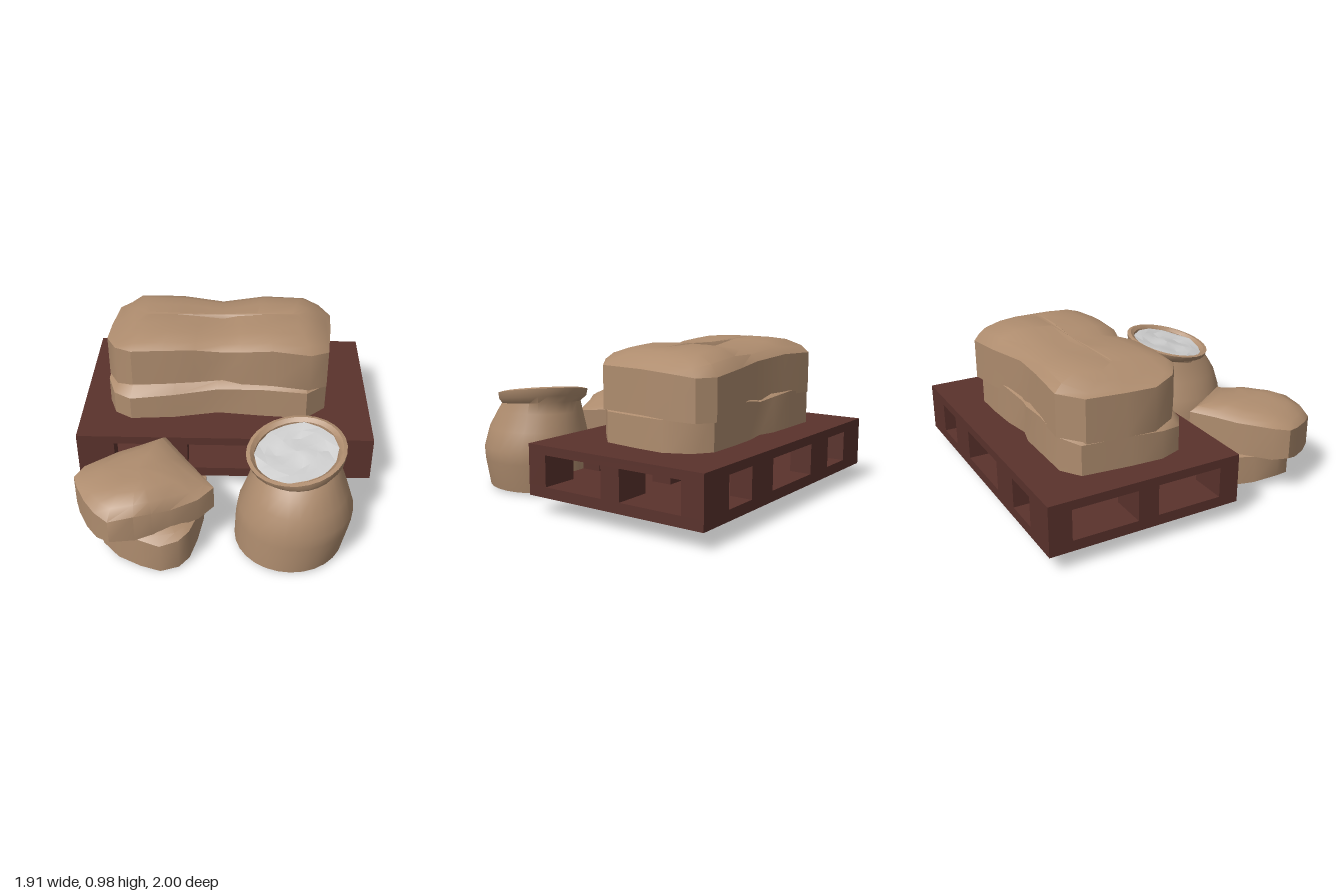
import * as THREE from 'three';
import { toCreasedNormals } from 'three/addons/utils/BufferGeometryUtils.js';

const burlap = new THREE.MeshStandardMaterial({ color: 0xae8c6e, side: THREE.DoubleSide });
const wood = new THREE.MeshStandardMaterial({ color: 0x5a322c });
const grey = new THREE.MeshStandardMaterial({ color: 0xcccccc, side: THREE.DoubleSide });

const lerp = THREE.MathUtils.lerp;

// Skin a stack of closed rings, each a list of [x, y, z], and cap both ends.
function loft(rings, crease = 0.6) {
  const n = rings[0].length;
  const pos = rings.flat(2);
  const index = [];
  for (let i = 0; i < rings.length - 1; i++) {
    for (let j = 0; j < n; j++) {
      const a = i * n + j, b = i * n + (j + 1) % n;
      index.push(a, a + n, b, a + n, b + n, b);
    }
  }
  for (const end of [0, rings.length - 1]) {
    const centre = [0, 1, 2].map(k => rings[end].reduce((s, p) => s + p[k], 0) / n);
    const c = pos.length / 3;
    pos.push(...centre);
    for (let j = 0; j < n; j++) {
      const a = end * n + j, b = end * n + (j + 1) % n;
      if (end === 0) index.push(c, a, b);
      else index.push(c, b, a);
    }
  }
  const g = new THREE.BufferGeometry();
  g.setAttribute('position', new THREE.Float32BufferAttribute(pos, 3));
  g.setIndex(index);
  return toCreasedNormals(g, crease);
}

function add(group, name, geometry, material) {
  const mesh = new THREE.Mesh(geometry, material);
  mesh.name = name;
  group.add(mesh);
  return mesh;
}

// Height of the crown at x, from a short list of [x, y].
function heightAt(profile, x) {
  if (x <= profile[0][0]) return profile[0][1];
  for (let i = 1; i < profile.length; i++) {
    const [x0, y0] = profile[i - 1], [x1, y1] = profile[i];
    if (x <= x1) return lerp(y0, y1, (x - x0) / (x1 - x0));
  }
  return profile[profile.length - 1][1];
}

// Lying bag: outline rows are [x, z, bottom y, rim y]; the top swells towards a spine.
function lyingBag(outline, crown, [cx, cz], halfSpine) {
  const rings = [outline.map(([x, z, b]) => [x, b, z]), outline.map(([x, z, , r]) => [x, r, z])];
  for (const [s, w] of [[0.87, 0.55], [0.62, 0.9], [0.35, 1], [0.04, 1]]) {
    rings.push(outline.map(([x, z, , r]) => {
      const sx = cx + THREE.MathUtils.clamp((x - cx) * 0.8, -halfSpine, halfSpine);
      const px = lerp(sx, x, s);
      return [px, lerp(r, heightAt(crown, px), w), lerp(cz, z, s)];
    }));
  }
  return loft(rings);
}

// Pallet: two decks held apart by a grid of blocks, leaving crossing tunnels
function buildPallet() {
  const pallet = new THREE.Group();
  pallet.name = 'pallet';
  const box = (name, x0, x1, y0, y1, z0, z1) =>
    add(pallet, name, new THREE.BoxGeometry(x1 - x0, y1 - y0, z1 - z0), wood)
      .position.set((x0 + x1) / 2, (y0 + y1) / 2, (z0 + z1) / 2);
  box('bottomDeck', -0.955, 0.955, 0.105, 0.17, -1, 0.225);
  box('topDeck', -0.955, 0.955, 0.36, 0.415, -1, 0.225);
  for (const [x0, x1] of [[-0.955, -0.715], [-0.475, -0.24], [0.24, 0.475], [0.715, 0.955]]) {
    for (const [z0, z1] of [[-1, -0.86], [-0.45, -0.32], [0.095, 0.225]]) {
      box('palletBlock', x0, x1, 0.17, 0.36, z0, z1);
    }
  }
  return pallet;
}

// Open sack: elliptical sections, tilted more and more towards the mouth
function buildSack() {
  const sack = new THREE.Group();
  sack.name = 'openSack';
  const ring = ([y, cx, cz, rx, rz, tilt = 0]) => Array.from({ length: 28 }, (_, i) => {
    const a = i / 28 * Math.PI * 2, c = Math.cos(a), s = Math.sin(a);
    return [cx + rx * c, y + tilt * (0.036 * c - 0.044 * s), cz + rz * s];
  });
  const sections = [
    [0.015, 0.41, 0.65, 0.335, 0.345],
    [0.20, 0.435, 0.65, 0.352, 0.348],
    [0.28, 0.445, 0.65, 0.348, 0.346],
    [0.40, 0.45, 0.64, 0.305, 0.325],
    [0.50, 0.445, 0.625, 0.268, 0.288, 0.3],
    [0.56, 0.445, 0.61, 0.25, 0.26, 0.5],
    [0.59, 0.44, 0.60, 0.288, 0.278, 0.8],
    [0.63, 0.435, 0.60, 0.298, 0.282, 1],
    [0.635, 0.435, 0.60, 0.275, 0.258, 1],
    [0.615, 0.435, 0.60, 0.25, 0.235, 1],
    [0.57, 0.435, 0.60, 0.245, 0.235, 1],
  ];
  add(sack, 'sackCloth', loft(sections.map(ring), 0.8), burlap);

  // Lumpy filling, following the tilt of the mouth
  const fill = new THREE.RingGeometry(0.001, 0.25, 14, 4).rotateX(-Math.PI / 2);
  const p = fill.attributes.position;
  for (let i = 0; i < p.count; i++) {
    const x = p.getX(i), z = p.getZ(i) * 0.95;
    const lump = 0.012 * Math.sin(x * 23 + 1) * Math.cos(z * 27);
    p.setXYZ(i, x + 0.435, 0.61 + 0.13 * x - 0.16 * z + lump, z + 0.6);
  }
  add(sack, 'filling', toCreasedNormals(fill, 0.3), grey);
  return sack;
}

export function createModel() {
  const model = new THREE.Group();
  model.name = 'palletWithSacks';
  model.add(buildPallet(), buildSack());

  // Two long bags, the lower one turned half way round
  const longBag = lyingBag([
    [-0.74, -0.66, 0.60, 0.87], [-0.61, -0.78, 0.62, 0.88], [-0.32, -0.76, 0.63, 0.89],
    [-0.03, -0.73, 0.63, 0.87], [0.26, -0.79, 0.61, 0.86], [0.54, -0.81, 0.59, 0.84],
    [0.65, -0.74, 0.59, 0.84], [0.70, -0.60, 0.60, 0.86], [0.69, -0.40, 0.61, 0.87],
    [0.66, -0.10, 0.61, 0.87], [0.54, -0.02, 0.63, 0.89], [0.30, -0.02, 0.66, 0.92],
    [0.10, -0.02, 0.67, 0.91], [-0.02, -0.05, 0.68, 0.89], [-0.20, -0.02, 0.68, 0.92],
    [-0.40, -0.01, 0.67, 0.92], [-0.60, -0.01, 0.66, 0.91], [-0.71, -0.09, 0.62, 0.89],
    [-0.78, -0.24, 0.60, 0.87], [-0.77, -0.42, 0.60, 0.87],
  ], [[-0.78, 0.87], [-0.58, 0.97], [-0.4, 0.98], [-0.2, 0.965], [-0.04, 0.94],
    [0.06, 0.965], [0.25, 0.98], [0.5, 0.97], [0.64, 0.92], [0.7, 0.87]], [-0.04, -0.4], 0.5);
  add(model, 'upperLongBag', longBag, burlap);
  const lower = add(model, 'lowerLongBag', longBag, burlap);
  lower.rotation.y = Math.PI;
  lower.position.set(-0.08, -0.27, -0.79);

  // Two short bags on the ground, each with one square end
  add(model, 'upperShortBag', lyingBag([
    [-0.37, 0.27, 0.25, 0.45], [-0.21, 0.49, 0.24, 0.43], [-0.05, 0.71, 0.27, 0.42],
    [-0.14, 0.80, 0.25, 0.40], [-0.30, 0.88, 0.24, 0.385], [-0.40, 0.94, 0.25, 0.41],
    [-0.50, 0.98, 0.24, 0.42], [-0.65, 0.99, 0.23, 0.385], [-0.73, 0.94, 0.22, 0.41],
    [-0.80, 0.85, 0.22, 0.42], [-0.86, 0.74, 0.23, 0.43], [-0.89, 0.66, 0.25, 0.44],
    [-0.84, 0.57, 0.24, 0.45], [-0.66, 0.43, 0.24, 0.45], [-0.52, 0.36, 0.25, 0.45],
  ], [[-0.87, 0.45], [-0.8, 0.49], [-0.65, 0.505], [-0.45, 0.52], [-0.3, 0.51],
    [-0.2, 0.475], [-0.05, 0.43]], [-0.5, 0.66], 0), burlap);
  add(model, 'lowerShortBag', lyingBag([
    [-0.66, 0.34, 0.03, 0.23], [-0.38, 0.36, 0.02, 0.24], [-0.11, 0.39, 0.08, 0.24],
    [-0.12, 0.60, 0.06, 0.23], [-0.15, 0.76, 0.04, 0.23], [-0.19, 0.90, 0.03, 0.24],
    [-0.25, 0.96, 0.01, 0.22], [-0.36, 0.99, 0.0, 0.20], [-0.48, 0.96, 0.01, 0.22],
    [-0.62, 0.89, 0.015, 0.24], [-0.72, 0.80, 0.04, 0.24], [-0.77, 0.68, 0.07, 0.23],
    [-0.74, 0.52, 0.05, 0.23],
  ], [[-0.77, 0.23], [-0.6, 0.27], [-0.42, 0.29], [-0.11, 0.25]], [-0.42, 0.66], 0), burlap);

  return model;
}
